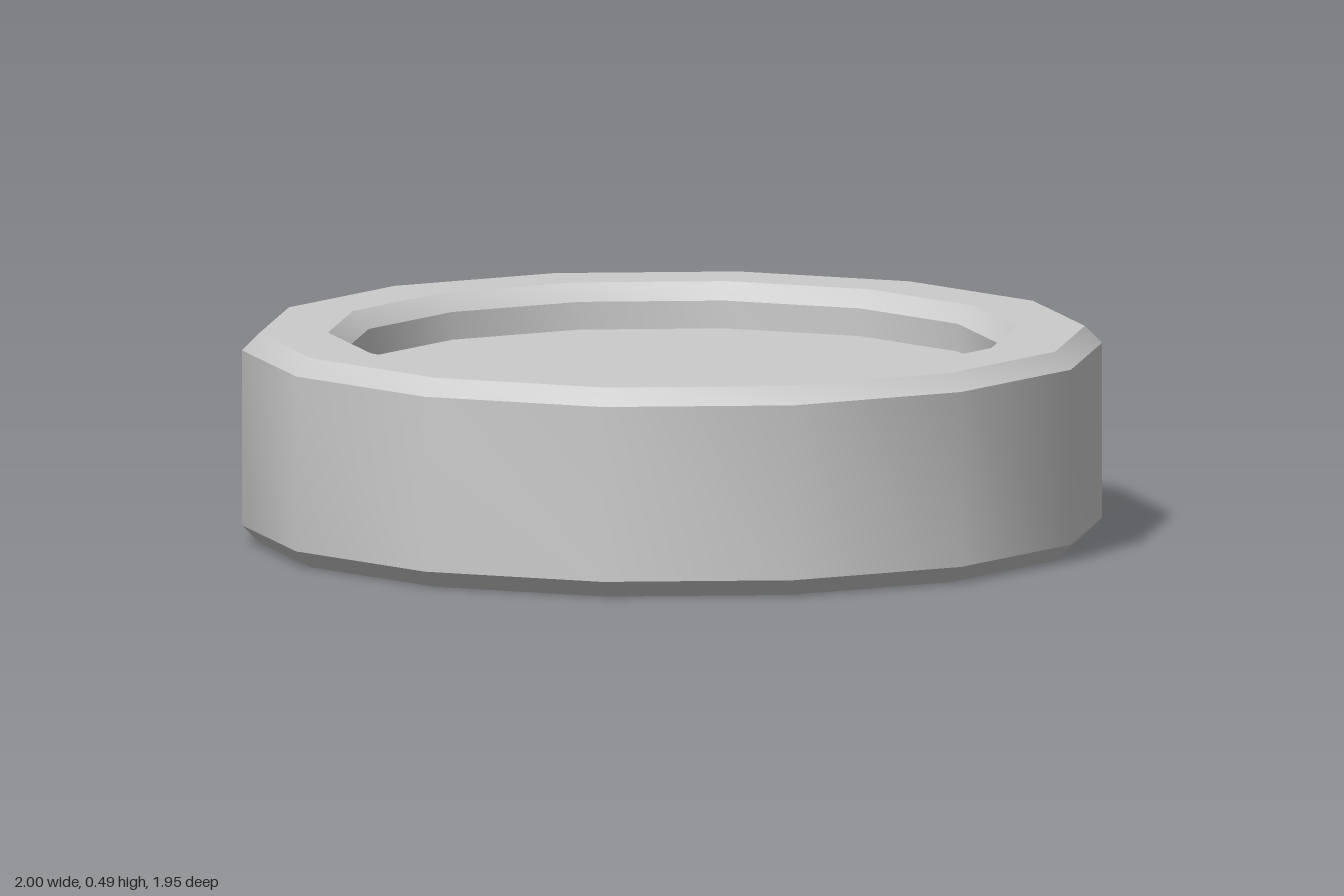
import * as THREE from 'three';
import { toCreasedNormals } from 'three/addons/utils/BufferGeometryUtils.js';

const SIDES = 14;
const HEIGHT = 0.49;
const BEVEL = 0.04;
const OUTER = 1;
const INNER = 0.76;
const RECESS = 0.105; // depth of the panel below each rim

export function createModel() {
  const group = new THREE.Group();
  const material = new THREE.MeshStandardMaterial({ color: 0xcccccc });

  const add = (name, geometry) => {
    const mesh = new THREE.Mesh(toCreasedNormals(geometry, Math.PI / 6), material);
    mesh.name = name;
    group.add(mesh);
    return mesh;
  };

  // Rim: closed, bevelled cross-section turned into a 14-sided ring
  const profile = [
    [INNER, BEVEL],
    [INNER + BEVEL, 0],
    [OUTER - BEVEL, 0],
    [OUTER, BEVEL],
    [OUTER, HEIGHT - BEVEL],
    [OUTER - BEVEL, HEIGHT],
    [INNER + BEVEL, HEIGHT],
    [INNER, HEIGHT - BEVEL],
    [INNER, BEVEL],
  ].map(([r, y]) => new THREE.Vector2(r, y));
  add('rim', new THREE.LatheGeometry(profile, SIDES, Math.PI / 2));

  // Panel: solid disc recessed equally from both faces
  const panel = new THREE.CylinderGeometry(
    INNER, INNER, HEIGHT - 2 * RECESS, SIDES, 1, false, Math.PI / 2
  );
  add('centrePanel', panel).position.y = HEIGHT / 2;

  return group;
}
